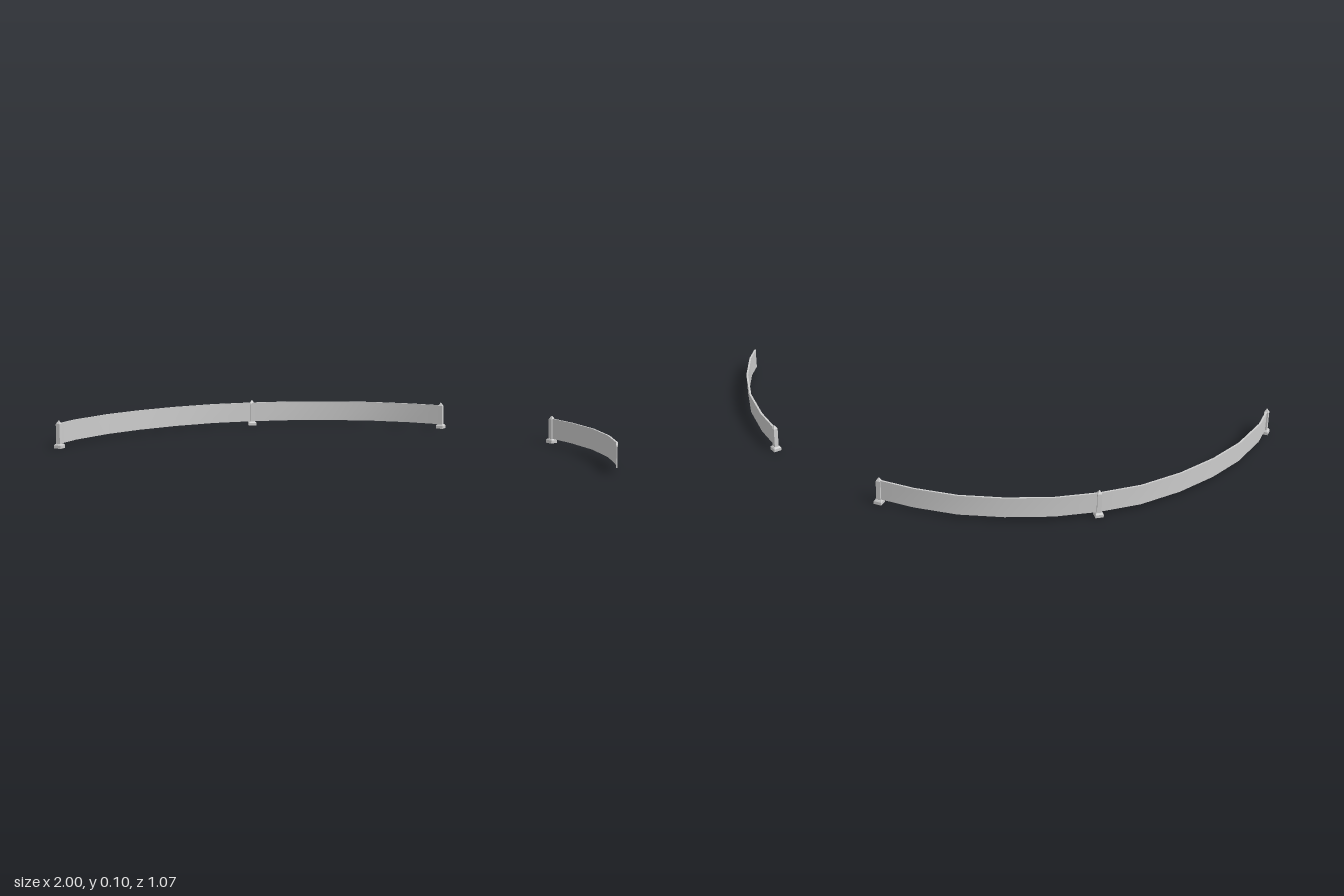
import * as THREE from 'three';

const material = new THREE.MeshStandardMaterial({ color: 0xcccccc, side: THREE.DoubleSide });
const flat = new THREE.MeshStandardMaterial({ color: 0xcccccc, flatShading: true });

// Plan outlines [x, z] of the three curved spans
const spans = [
  [[-0.985, 0.515], [-0.988, 0.41], [-0.96, 0.243], [-0.91, 0.1], [-0.836, -0.045], [-0.74, -0.18], [-0.627, -0.286]],
  [[-0.627, -0.286], [-0.5, -0.377], [-0.35, -0.45], [-0.2, -0.5], [-0.045, -0.521], [0.088, -0.521]],
  [[0.6, -0.35], [0.7, -0.275], [0.815, -0.163], [0.91, -0.03], [0.975, 0.1], [0.997, 0.173]],
];

// Upright strip with a rectangular section swept along a plan outline
function ribbon(path, thickness, y0, y1) {
  const h = thickness / 2;
  const section = [[-h, y0], [-h, y1], [h, y1], [h, y0]];
  const rings = path.map(([x, z], i) => {
    const a = path[Math.max(i - 1, 0)], b = path[Math.min(i + 1, path.length - 1)];
    const dx = b[0] - a[0], dz = b[1] - a[1], len = Math.hypot(dx, dz);
    return section.map(([o, y]) => [x - (dz / len) * o, y, z + (dx / len) * o]);
  });
  const pos = [], idx = [];
  // each side keeps its own vertices so long edges stay sharp
  for (let s = 0; s < 4; s++) {
    const start = pos.length / 3;
    rings.forEach((r) => pos.push(...r[s], ...r[(s + 1) % 4]));
    for (let i = 0; i < rings.length - 1; i++) {
      const k = start + i * 2;
      idx.push(k, k + 2, k + 1, k + 1, k + 2, k + 3);
    }
  }
  // end caps
  [rings[0], rings[rings.length - 1].slice().reverse()].forEach((r) => {
    const k = pos.length / 3;
    r.forEach((p) => pos.push(...p));
    idx.push(k, k + 1, k + 2, k, k + 2, k + 3);
  });
  const g = new THREE.BufferGeometry();
  g.setAttribute('position', new THREE.Float32BufferAttribute(pos, 3));
  g.setIndex(idx);
  g.computeVertexNormals();
  return g;
}

// Square frustum: half-widths at top and bottom
function frustum(top, bottom, height, y) {
  const g = new THREE.CylinderGeometry(top * Math.SQRT2, bottom * Math.SQRT2, height, 4);
  return g.rotateY(Math.PI / 4).translate(0, y + height / 2, 0);
}

function makePost(x, z, yaw) {
  const post = new THREE.Group();
  post.name = 'post';
  const parts = [
    ['postFoot', frustum(0.0145, 0.0145, 0.011, 0)],
    ['postFootBevel', frustum(0.011, 0.0145, 0.005, 0.011)],
    ['postShaft', frustum(0.008, 0.008, 0.073, 0.016)],
    ['postCap', frustum(0.001, 0.008, 0.012, 0.089)],
  ];
  for (const [name, geometry] of parts) {
    const mesh = new THREE.Mesh(geometry, flat);
    mesh.name = name;
    post.add(mesh);
  }
  post.position.set(x, 0, z);
  post.rotation.y = yaw;
  return post;
}

export function createModel() {
  const model = new THREE.Group();
  model.name = 'curvedFence';

  // Thin panels with a slightly wider rail along the top
  for (const path of spans) {
    const panel = new THREE.Mesh(ribbon(path, 0.004, 0.016, 0.088), material);
    panel.name = 'fencePanel';
    const rail = new THREE.Mesh(ribbon(path, 0.007, 0.086, 0.091), material);
    rail.name = 'topRail';
    model.add(panel, rail);
  }

  // Posts at the span ends; the last span ends free
  const posts = [[-0.985, 0.515, 0], [-0.627, -0.286, 0.65], [0.088, -0.521, 0], [0.6, -0.35, -0.5]];
  posts.forEach((p) => model.add(makePost(...p)));
  return model;
}
